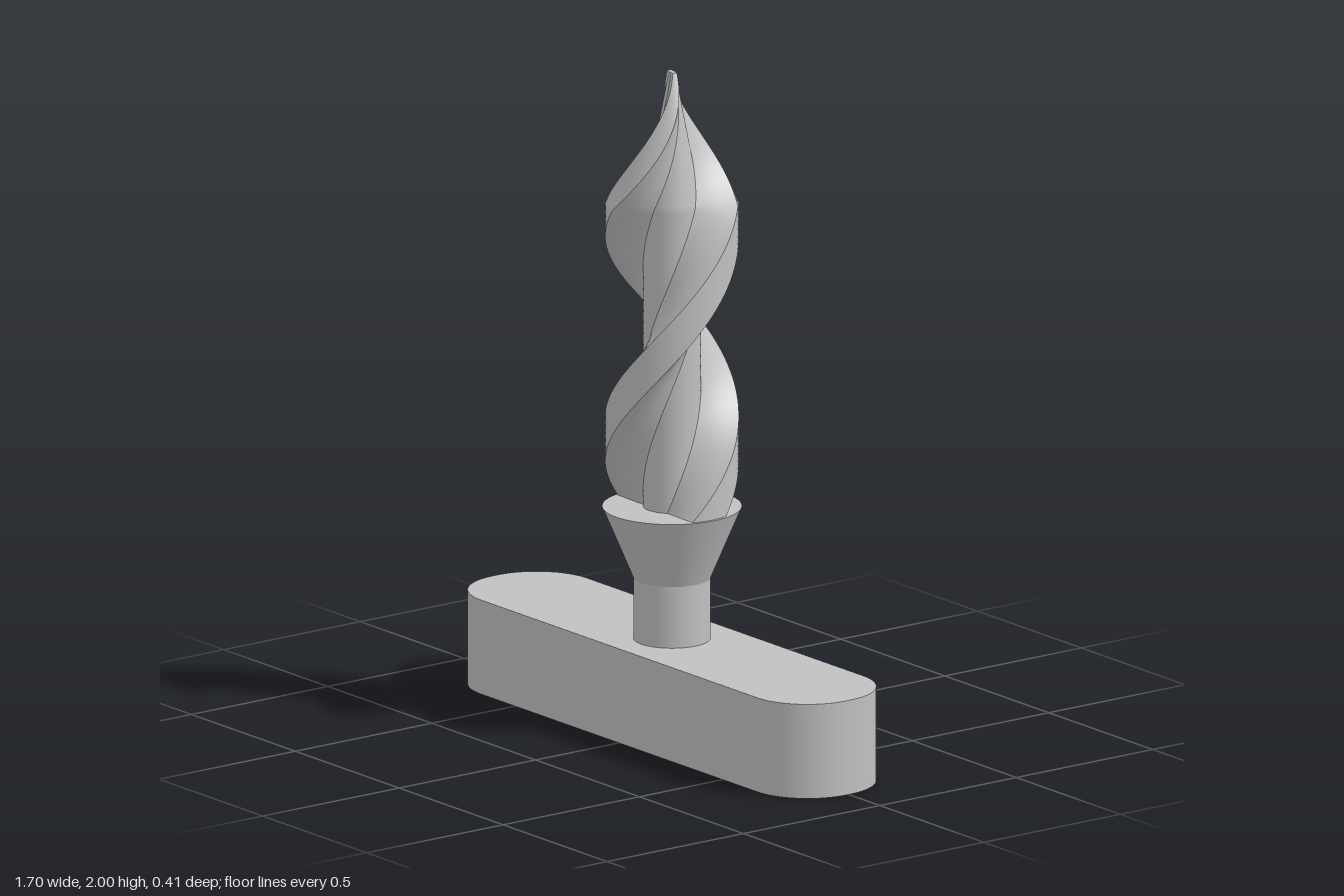
import * as THREE from 'three';
import { toCreasedNormals } from 'three/addons/utils/BufferGeometryUtils.js';

const BASE = 0.68, SHOULDER = 1.6, TIP = 2.0;
const OUTER = 0.195, CORE = 0.085, HALF_WIDTH = 0.06;

// Cross-section of the two-bladed cutter, as smooth runs separated by sharp edges
function sectionRuns() {
  const land = Math.asin(HALF_WIDTH / OUTER), root = Math.asin(HALF_WIDTH / CORE);
  const arc = (r, a, b, n) => Array.from({ length: n + 1 }, (_, i) => {
    const t = a + (b - a) * i / n;
    return [r * Math.sin(t), r * Math.cos(t)];
  });
  const line = (p, q, n) => Array.from({ length: n + 1 }, (_, i) =>
    [p[0] + (q[0] - p[0]) * i / n, p[1] + (q[1] - p[1]) * i / n]);
  const runs = [];
  for (const a of [0, Math.PI]) {
    const edge = arc(OUTER, a - land, a + land, 6);
    const core = arc(CORE, a + root, a + Math.PI - root, 10);
    const next = arc(OUTER, a + Math.PI - land, a + Math.PI, 1);
    runs.push(edge, line(edge[6], core[0], 4), core, line(core[10], next[0], 4));
  }
  return runs;
}

// Sweep the section upward with a steady twist, tapering above the shoulder
function cutterGeometry() {
  const position = [], index = [], rows = 120;
  const place = ([x, z], y) => {
    const s = y < SHOULDER ? 1 : 1 - 0.89 * (y - SHOULDER) / (TIP - SHOULDER);
    const t = (y - 1.03) / 0.68 * Math.PI, c = Math.cos(t), n = Math.sin(t);
    position.push(s * (x * c + z * n), y, s * (z * c - x * n));
  };
  const heights = Array.from({ length: rows + 1 }, (_, j) => j <= 84
    ? BASE + (SHOULDER - BASE) * j / 84
    : SHOULDER + (TIP - SHOULDER) * (j - 84) / (rows - 84));
  for (const run of sectionRuns()) {
    const start = position.length / 3, w = run.length;
    for (const y of heights) run.forEach(p => place(p, y));
    for (let j = 0; j < rows; j++) for (let i = 0; i < w - 1; i++) {
      const a = start + j * w + i;
      index.push(a, a + 1, a + w + 1, a, a + w + 1, a + w);
    }
    // Small flat cap at the tip
    const cap = position.length / 3;
    place([0, 0], TIP);
    run.forEach(p => place(p, TIP));
    for (let i = 1; i < w; i++) index.push(cap, cap + i, cap + i + 1);
  }
  const g = new THREE.BufferGeometry();
  g.setAttribute('position', new THREE.Float32BufferAttribute(position, 3));
  g.setIndex(index);
  g.computeVertexNormals();
  return g;
}

// Long bar with rounded ends
function handleGeometry() {
  const x = 0.85, z = 0.195, r = 0.185, s = new THREE.Shape();
  s.absarc(x - r, z - r, r, 0, Math.PI / 2);
  s.absarc(-x + r, z - r, r, Math.PI / 2, Math.PI);
  s.absarc(-x + r, -z + r, r, Math.PI, Math.PI * 1.5);
  s.absarc(x - r, -z + r, r, Math.PI * 1.5, Math.PI * 2);
  const g = new THREE.ExtrudeGeometry(s, { depth: 0.285, bevelEnabled: false, curveSegments: 16 });
  g.rotateX(-Math.PI / 2);
  return toCreasedNormals(g, 0.5);
}

export function createModel() {
  const group = new THREE.Group();
  const grey = new THREE.MeshStandardMaterial({ color: 0xc0c0c0 });
  grey.name = 'grey';
  const add = (name, geometry, y = 0) => {
    const mesh = new THREE.Mesh(geometry, grey);
    mesh.name = name;
    mesh.position.y = y;
    group.add(mesh);
  };
  add('handle', handleGeometry());
  add('neck', new THREE.CylinderGeometry(0.113, 0.113, 0.185, 64), 0.3775);
  add('collar', new THREE.CylinderGeometry(0.204, 0.113, 0.215, 64), 0.5775);
  add('spiralCutter', cutterGeometry());
  return group;
}
